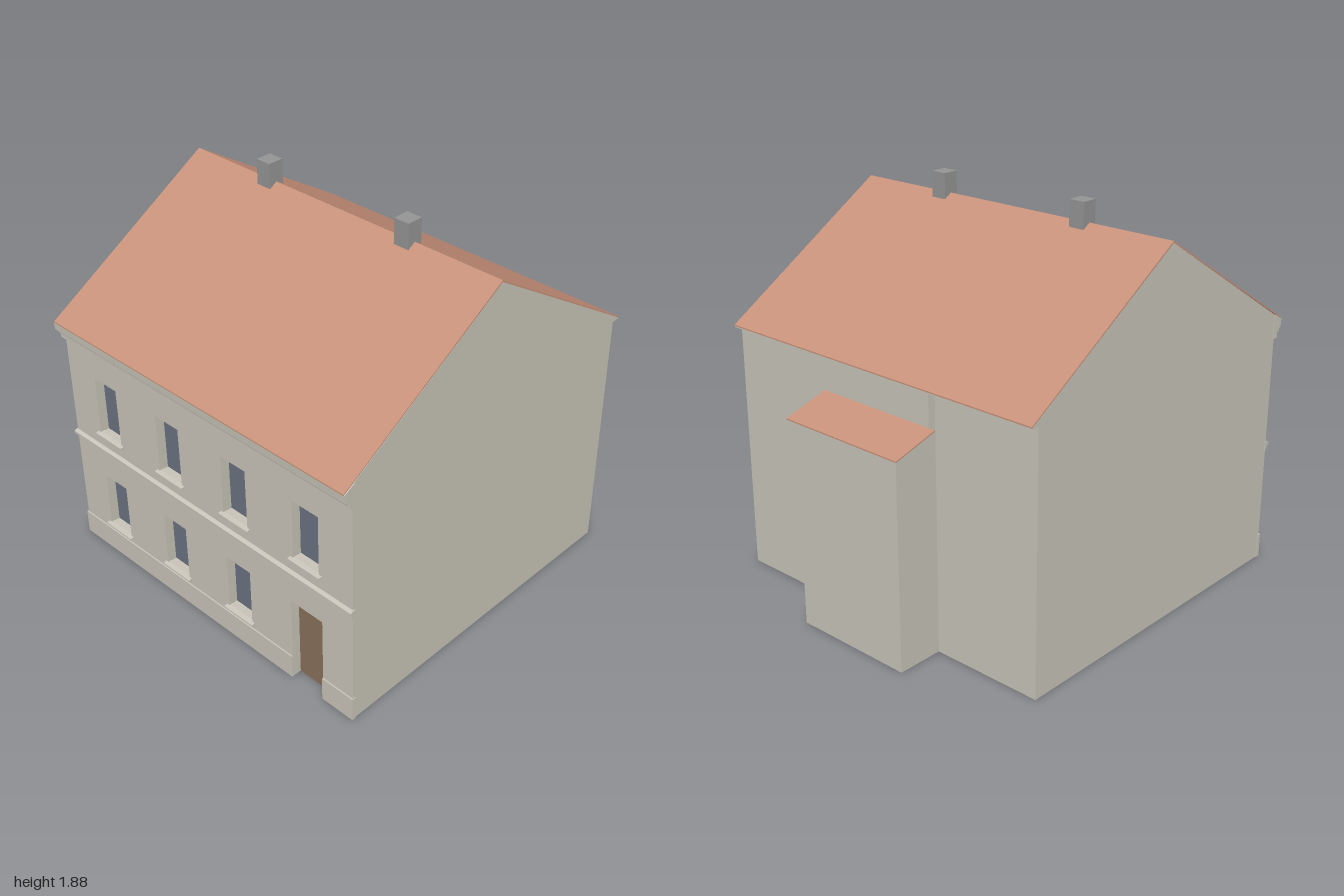
import * as THREE from 'three';

const mat = (name, color) => {
  const m = new THREE.MeshStandardMaterial({ color });
  m.name = name;
  return m;
};

export function createModel() {
  const house = new THREE.Group();
  house.name = 'house';

  const wall = mat('plaster', 0xc8c4b8);
  const tile = mat('roof tile', 0xc8927a);
  const glass = mat('window glass', 0x6b7280);
  const wood = mat('door wood', 0x88705a);
  const grey = mat('chimney grey', 0x949494);

  const add = (name, geometry, material) => {
    const mesh = new THREE.Mesh(geometry, material);
    mesh.name = name;
    house.add(mesh);
    return mesh;
  };

  // Box given by its limits on each axis
  const block = (name, material, x0, x1, y0, y1, z0, z1) =>
    add(name, new THREE.BoxGeometry(x1 - x0, y1 - y0, z1 - z0)
      .translate((x0 + x1) / 2, (y0 + y1) / 2, (z0 + z1) / 2), material);

  // Profile of [z, y] points swept along x
  const prism = (name, material, x0, x1, points) => {
    const shape = new THREE.Shape(points.map(([z, y]) => new THREE.Vector2(z, y)));
    const geometry = new THREE.ExtrudeGeometry(shape, { depth: x1 - x0, bevelEnabled: false });
    geometry.rotateY(-Math.PI / 2).translate(x1, 0, 0);
    return add(name, geometry, material);
  };

  // Main body with gables and rear eaves
  prism('body', wall, -0.9, 0.9, [
    [0.9, 0], [0.9, 1.14], [0.95, 1.14], [0.95, 1.255], [0.1, 1.775],
    [-0.778, 1.229], [-0.778, 1.222], [-0.74, 1.222], [-0.74, 0],
  ]);

  // Main roof covering
  prism('roof', tile, -0.9, 0.9, [
    [1.0, 1.228], [0.1, 1.775], [-0.78, 1.228],
    [-0.78, 1.234], [0.1, 1.783], [1.0, 1.234],
  ]);

  // Front wall with recessed openings and a door notch
  const door = [0.54, 0.725, 0.44];
  const front = new THREE.Shape([
    [-0.9, 0], [door[0], 0], [door[0], door[2]], [door[1], door[2]],
    [door[1], 0], [0.9, 0], [0.9, 1.14], [-0.9, 1.14],
  ].map(([x, y]) => new THREE.Vector2(x, y)));

  const windows = [];
  for (const x of [-0.637, -0.213, 0.21, 0.635]) {
    if (x < 0.5) windows.push([x, 0.155, 0.44]);
    windows.push([x, 0.69, 0.99]);
  }
  const half = 0.075;
  for (const [x, y0, y1] of windows) {
    front.holes.push(new THREE.Path([
      [x - half, y0], [x - half, y1], [x + half, y1], [x + half, y0],
    ].map(([px, py]) => new THREE.Vector2(px, py))));
    block('windowPane', glass, x - half, x + half, y0, y1, 0.9, 0.904);
    // Sill with a sloping underside
    prism('windowSill', wall, x - 0.091, x + 0.091, [
      [0.93, y0 - 0.015], [0.955, y0 - 0.015], [0.967, y0 - 0.008],
      [0.967, y0 - 0.002], [0.945, y0 + 0.003], [0.93, y0 + 0.003],
    ]);
  }
  add('frontWall', new THREE.ExtrudeGeometry(front, { depth: 0.05, bevelEnabled: false })
    .translate(0, 0, 0.9), wall);
  block('door', wood, door[0], door[1], 0, door[2], 0.9, 0.905);

  // Plinth either side of the door
  block('plinth', wall, -0.904, door[0], 0, 0.12, 0.935, 0.957);
  block('plinth', wall, door[1], 0.904, 0, 0.12, 0.935, 0.957);

  // String course between storeys
  prism('stringCourse', wall, -0.905, 0.905, [
    [0.94, 0.575], [0.95, 0.58], [0.957, 0.592], [0.967, 0.6],
    [0.967, 0.613], [0.95, 0.62], [0.94, 0.62],
  ]);

  // Cornice under the front eaves
  prism('cornice', wall, -0.904, 0.904, [
    [0.94, 1.14], [0.972, 1.14], [0.972, 1.168], [0.982, 1.17], [0.985, 1.182],
    [0.998, 1.192], [1.0, 1.228], [0.95, 1.256], [0.94, 1.256],
  ]);

  // Rear annex: full-height strip stepping down to a lean-to
  prism('annex', wall, -0.345, 0.27, [
    [-0.73, 0], [-0.73, 1.222], [-0.778, 1.222], [-0.778, 1.066],
    [-0.968, 1.008], [-0.968, 0],
  ]);
  prism('annexRoof', tile, -0.38, 0.29, [
    [-0.778, 1.066], [-0.778, 1.072], [-1.0, 1.007], [-1.0, 1.001],
  ]);
  prism('annexEaves', wall, -0.378, 0.288, [
    [-0.918, 1.0], [-0.918, 1.025], [-0.999, 1.002], [-0.999, 1.0],
  ]);

  // Chimneys astride the ridge
  for (const x of [-0.42, 0.4]) {
    block('chimney', grey, x - 0.04, x + 0.04, 1.74, 1.88, 0.06, 0.14);
  }

  return house;
}
